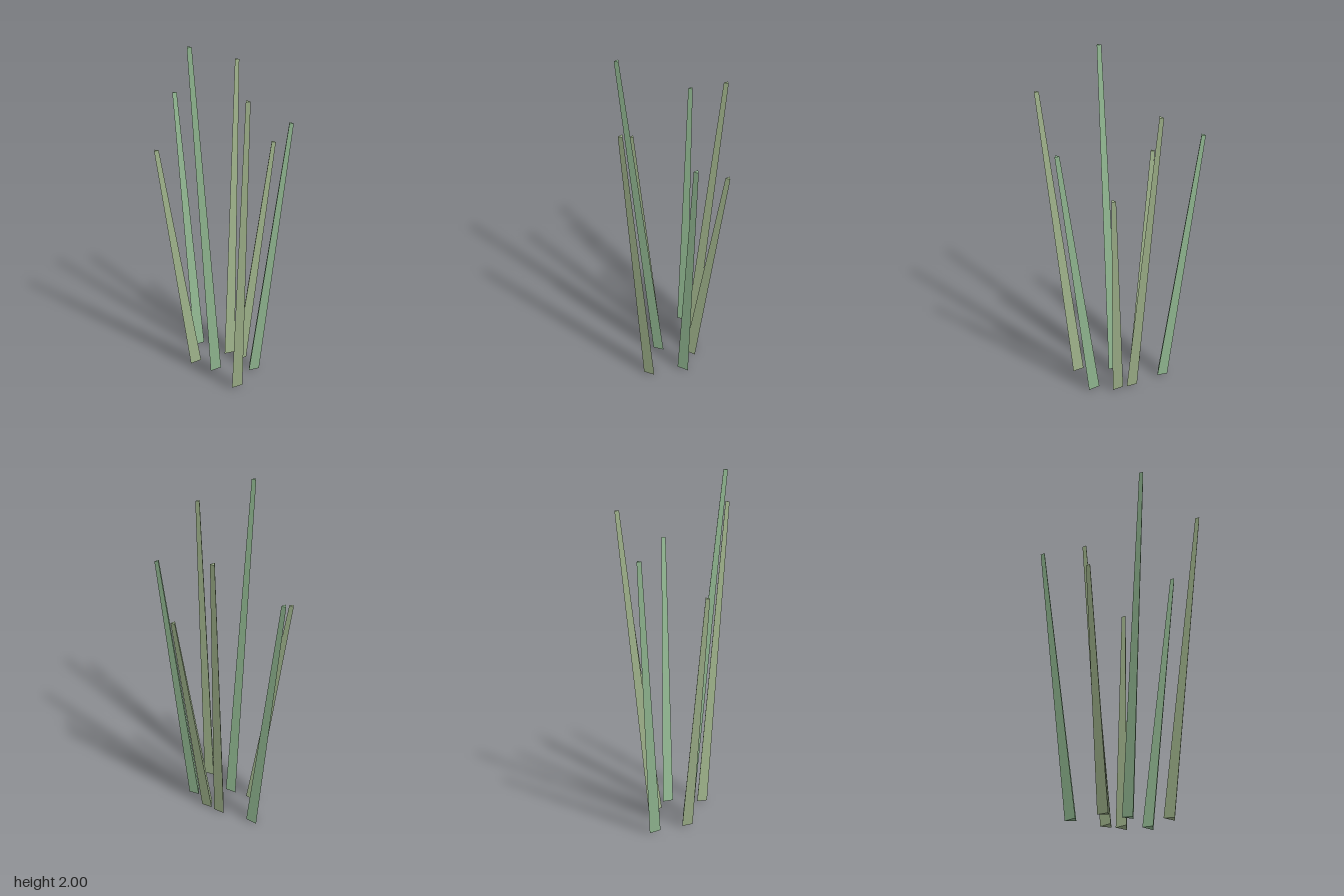
import * as THREE from 'three';

const SAGE = 0x9caf88;
const GREEN = 0x8fb58f;
const UP = new THREE.Vector3(0, 1, 0);

// A tapering three-sided blade leaning from its base centre to its tip centre
function makeBlade(base, tip, material) {
  const from = new THREE.Vector3(...base);
  const to = new THREE.Vector3(...tip);
  const axis = to.clone().sub(from);
  const geometry = new THREE.CylinderGeometry(0.0155, 0.0387, axis.length(), 3, 1, false, Math.PI);
  const blade = new THREE.Mesh(geometry, material);
  blade.position.copy(from).add(to).multiplyScalar(0.5);
  blade.quaternion.setFromUnitVectors(UP, axis.normalize());
  return blade;
}

export function createModel() {
  const group = new THREE.Group();
  group.name = 'grassTuft';

  const sage = new THREE.MeshStandardMaterial({ color: SAGE, flatShading: true });
  const green = new THREE.MeshStandardMaterial({ color: GREEN, flatShading: true });

  // Base x, z; tip x, z; height; material
  const blades = [
    [0.121, 0.003, 0.32, 0.002, 1.355, sage],
    [0.133, 0.144, 0.257, 0.3, 1.57, green],
    [-0.037, 0.259, -0.082, 0.452, 1.785, sage],
    [-0.07, 0.046, -0.25, 0.132, 1.999, green],
    [-0.142, -0.077, -0.321, -0.162, 1.355, sage],
    [-0.038, -0.253, -0.082, -0.447, 1.57, green],
    [0.083, -0.077, 0.207, -0.232, 1.785, sage],
  ];
  blades.forEach(([bx, bz, tx, tz, height, material], i) => {
    const blade = makeBlade([bx, 0.005, bz], [tx, height, tz], material);
    blade.name = `grassBlade${i + 1}`;
    group.add(blade);
  });

  return group;
}
